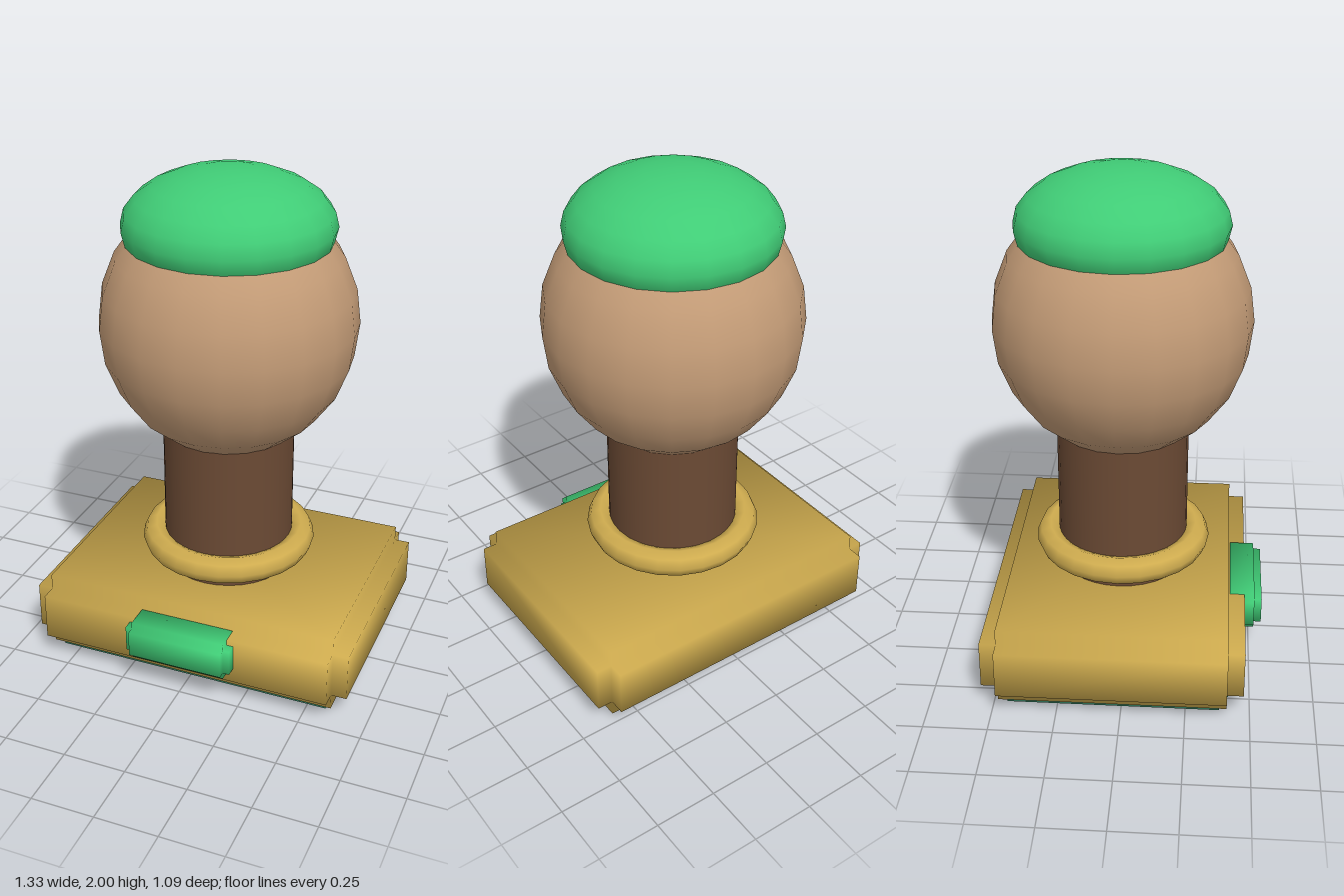
import * as THREE from 'three';

const material = (name, color) => {
  const m = new THREE.MeshStandardMaterial({ color });
  m.name = name;
  return m;
};

// Box whose edges are cut back by a square step, with soft diagonal corner normals.
// half = outer half sizes, step = depth of the cut along each axis.
function steppedBox(half, step) {
  const inner = half.map((h, i) => h - step[i]);
  const positions = [], normals = [];
  const quad = (corners, facing) => {
    const [a, b, c] = corners.map((q) => new THREE.Vector3(...q.p));
    const n = b.clone().sub(a).cross(c.clone().sub(a));
    const order = n.dot(facing) > 0 ? [0, 1, 2, 0, 2, 3] : [0, 2, 1, 0, 3, 2];
    for (const i of order) {
      positions.push(...corners[i].p);
      normals.push(...corners[i].s.map((s) => s / Math.sqrt(3)));
    }
  };
  const loop = [[-1, -1], [1, -1], [1, 1], [-1, 1]];
  for (let axis = 0; axis < 3; axis++) {
    const u = (axis + 1) % 3, v = (axis + 2) % 3;
    for (const side of [-1, 1]) {
      const corner = ([su, sv], raised) => {
        const s = [0, 0, 0];
        s[axis] = side; s[u] = su; s[v] = sv;
        const p = s.map((k, i) => k * inner[i]);
        if (raised) p[axis] = side * half[axis];
        return { p, s };
      };
      // raised face
      const out = new THREE.Vector3().setComponent(axis, side);
      quad(loop.map((c) => corner(c, true)), out);
      // four short walls around it
      for (let i = 0; i < 4; i++) {
        const c = loop[i], d = loop[(i + 1) % 4];
        const facing = new THREE.Vector3();
        facing.setComponent(u, c[0] + d[0]);
        facing.setComponent(v, c[1] + d[1]);
        quad([corner(c, false), corner(d, false), corner(d, true), corner(c, true)], facing);
      }
    }
  }
  const g = new THREE.BufferGeometry();
  g.setAttribute('position', new THREE.Float32BufferAttribute(positions, 3));
  g.setAttribute('normal', new THREE.Float32BufferAttribute(normals, 3));
  return g;
}

export function createModel() {
  const gold = material('gold', 0xcfac4f);
  const green = material('green', 0x40cc76);
  const darkWood = material('dark wood', 0x6b4a34);
  const lightWood = material('light wood', 0xc49c77);
  const rubber = material('teal rubber', 0x46a681);

  const group = new THREE.Group();
  const add = (name, geometry, mat, y, z = -0.033) => {
    const mesh = new THREE.Mesh(geometry, mat);
    mesh.name = name;
    mesh.position.set(0, y, z);
    group.add(mesh);
    return mesh;
  };

  // base block with the printing pad beneath
  add('base', steppedBox([0.665, 0.16, 0.51], [0.062, 0.064, 0.065]), gold, 0.19, -0.035);
  add('pad', steppedBox([0.602, 0.07, 0.448], [0.027, 0.065, 0.033]), rubber, 0.07);

  // plate on the front of the base
  add('frontPlate', steppedBox([0.22, 0.08, 0.08], [0.026, 0.027, 0.03]), green, 0.21, 0.465);

  // handle and collar
  add('handle', new THREE.CylinderGeometry(0.263, 0.263, 0.66, 32), darkWood, 0.65);
  add('collar', new THREE.TorusGeometry(0.3, 0.055, 8, 24).rotateX(Math.PI / 2), gold, 0.45);

  // knob and its cap
  const ball = new THREE.SphereGeometry(1, 20, 12);
  add('knob', ball, lightWood, 1.4).scale.set(0.505, 0.53, 0.505);
  add('cap', ball, green, 1.78).scale.set(0.41, 0.22, 0.41);

  return group;
}
